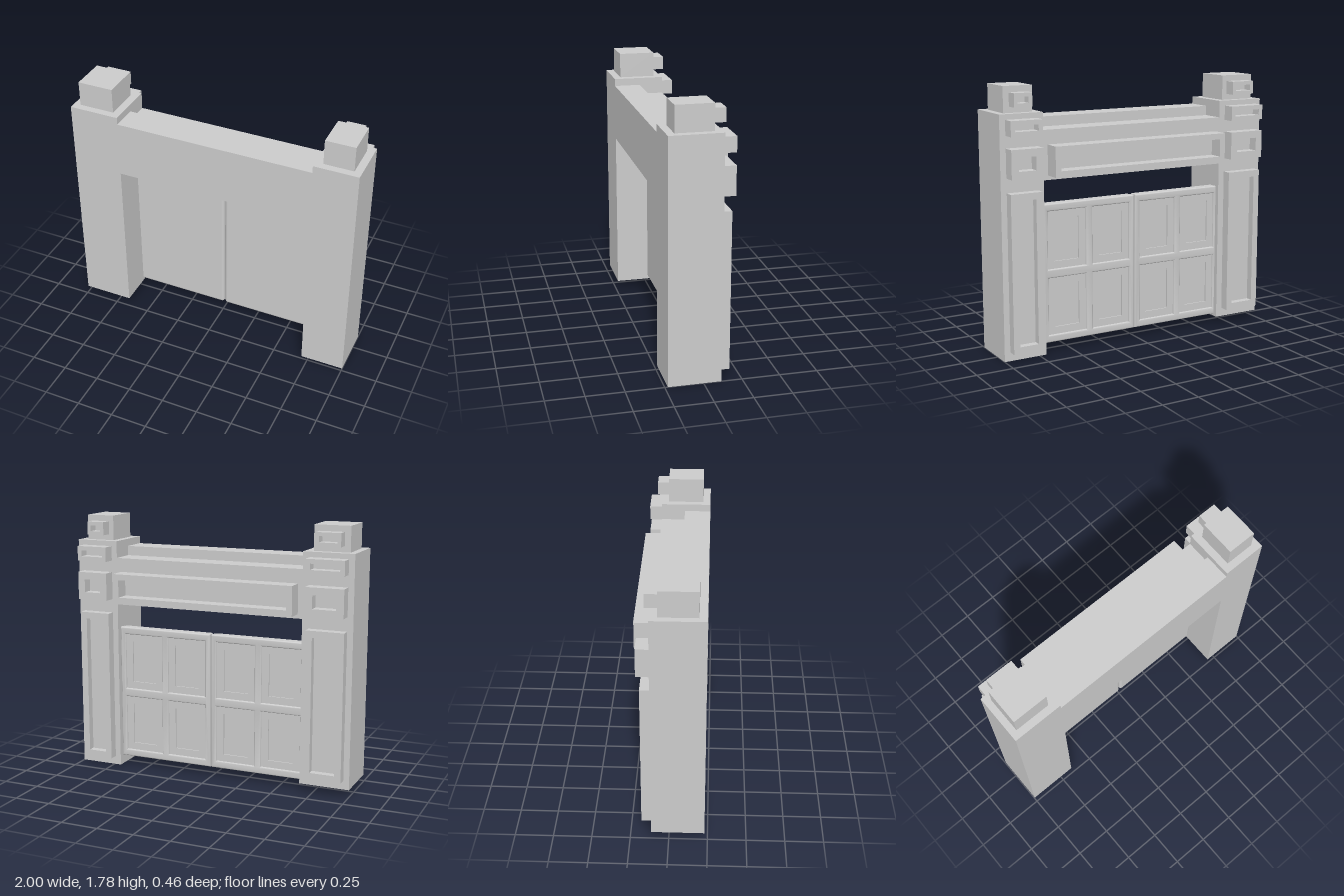
import * as THREE from 'three';
import { RoundedBoxGeometry } from 'three/addons/geometries/RoundedBoxGeometry.js';
import { toCreasedNormals } from 'three/addons/utils/BufferGeometryUtils.js';

const material = new THREE.MeshStandardMaterial({ color: 0xcccccc });

function add(parent, name, geometry) {
  const mesh = new THREE.Mesh(geometry, material);
  mesh.name = name;
  parent.add(mesh);
  return mesh;
}

// Box given by its limits on each axis
function block(parent, name, x0, x1, y0, y1, z0, z1) {
  const g = new THREE.BoxGeometry(x1 - x0, y1 - y0, z1 - z0);
  g.translate((x0 + x1) / 2, (y0 + y1) / 2, (z0 + z1) / 2);
  return add(parent, name, g);
}

function rectPoints(x0, x1, y0, y1) {
  return [[x0, y0], [x1, y0], [x1, y1], [x0, y1]].map(([x, y]) => new THREE.Vector2(x, y));
}

// Plate with rectangular holes, optionally with softened edges
function plate(parent, name, rect, holes, z0, z1, bevel = 0) {
  const shape = new THREE.Shape(rectPoints(...rect));
  for (const h of holes) shape.holes.push(new THREE.Path(rectPoints(...h).reverse()));
  const g = new THREE.ExtrudeGeometry(shape, {
    depth: z1 - z0 - 2 * bevel, bevelEnabled: bevel > 0, bevelThickness: bevel,
    bevelSize: bevel, bevelOffset: -bevel, bevelSegments: 3,
  });
  g.translate(0, 0, z0 + bevel);
  return add(parent, name, bevel ? toCreasedNormals(g, 0.7) : g);
}

const inset = ([x0, x1, y0, y1], d) => [x0 + d, x1 - d, y0 + d, y1 - d];

// Projecting picture-frame moulding on the back, with a recessed floor
function moulding(parent, name, x0, x1, y0, y1, z0, z1, border) {
  const group = new THREE.Group();
  group.name = name;
  const rect = [x0, x1, y0, y1];
  const hole = inset(rect, border);
  plate(group, name + 'Rim', rect, [hole], z0, z1);
  block(group, name + 'Floor', ...hole, z1 - 0.015, z1);
  parent.add(group);
}

// Pillar with cap block and a stack of mouldings
function pillar(parent, name, p) {
  const group = new THREE.Group();
  group.name = name;
  const [c0, c1] = p.cap, [f0, f1] = p.frame, [s0, s1] = p.small;
  block(group, 'pillarShaft', p.x[0], p.x[1], p.bottom, 1.61, -0.115, 0.23);
  block(group, 'pillarCap', c0, c1, 1.61, 1.78, -0.065, 0.18);
  moulding(group, 'capMoulding', s0, s1, 1.65, 1.74, -0.145, -0.065, 0.025);
  moulding(group, 'upperMoulding', f0, f1, 1.475, 1.575, -0.2, -0.115, 0.03);
  moulding(group, 'squareMoulding', f0, f1, 1.205, 1.395, -0.2, -0.115, 0.05);
  moulding(group, 'tallMoulding', f0, f1, p.tall, 1.11, -0.178, -0.115, 0.045);
  parent.add(group);
}

// Door leaf: rounded slab with four stepped panels on the back
function door(parent, name, x0, x1) {
  const group = new THREE.Group();
  group.name = name;
  const y0 = 0.065, y1 = 1.005;
  const slab = new RoundedBoxGeometry(x1 - x0, y1 - y0, 0.06, 4, 0.02);
  slab.translate((x0 + x1) / 2, (y0 + y1) / 2, -0.03);
  add(group, 'doorSlab', slab);
  const panels = [];
  const w = (x1 - x0 - 0.13) / 2, h = (y1 - y0 - 0.16) / 2;
  for (let i = 0; i < 2; i++) {
    for (let j = 0; j < 2; j++) {
      const px = x0 + 0.04 + i * (w + 0.05), py = y0 + 0.05 + j * (h + 0.06);
      panels.push([px, px + w, py, py + h]);
    }
  }
  const rect = [x0, x1, y0, y1];
  plate(group, 'doorInnerPanels', inset(rect, 0.002), panels.map((p) => inset(p, 0.05)), -0.07, -0.03);
  plate(group, 'doorOuterPanels', rect, panels, -0.082, -0.045, 0.01);
  parent.add(group);
}

export function createModel() {
  const model = new THREE.Group();
  model.name = 'gateway';

  // Side pillars
  pillar(model, 'rightPillar', {
    x: [-1, -0.655], bottom: 0.05, cap: [-0.955, -0.71],
    frame: [-0.96, -0.7], small: [-0.915, -0.745], tall: 0.11,
  });
  pillar(model, 'leftPillar', {
    x: [0.7, 1], bottom: 0, cap: [0.75, 0.95],
    frame: [0.74, 0.96], small: [0.785, 0.91], tall: 0.06,
  });

  // Stepped lintel: tall front part, lower ledge behind
  const profile = [[-0.23, 1.17], [0.115, 1.17], [0.115, 1.495], [-0.05, 1.495], [-0.05, 1.56], [-0.23, 1.56]];
  const lintel = new THREE.ExtrudeGeometry(
    new THREE.Shape(profile.map(([x, y]) => new THREE.Vector2(x, y))),
    { depth: 1.355, bevelEnabled: false });
  lintel.rotateY(Math.PI / 2); // profile x becomes -z, depth becomes +x
  lintel.translate(-0.655, 0, 0);
  add(model, 'lintel', lintel);
  moulding(model, 'lintelMoulding', -0.625, 0.67, 1.2, 1.4, -0.23, -0.115, 0.04);

  // Pair of doors
  door(model, 'rightDoor', -0.68, 0.005);
  door(model, 'leftDoor', 0.012, 0.7);
  return model;
}
